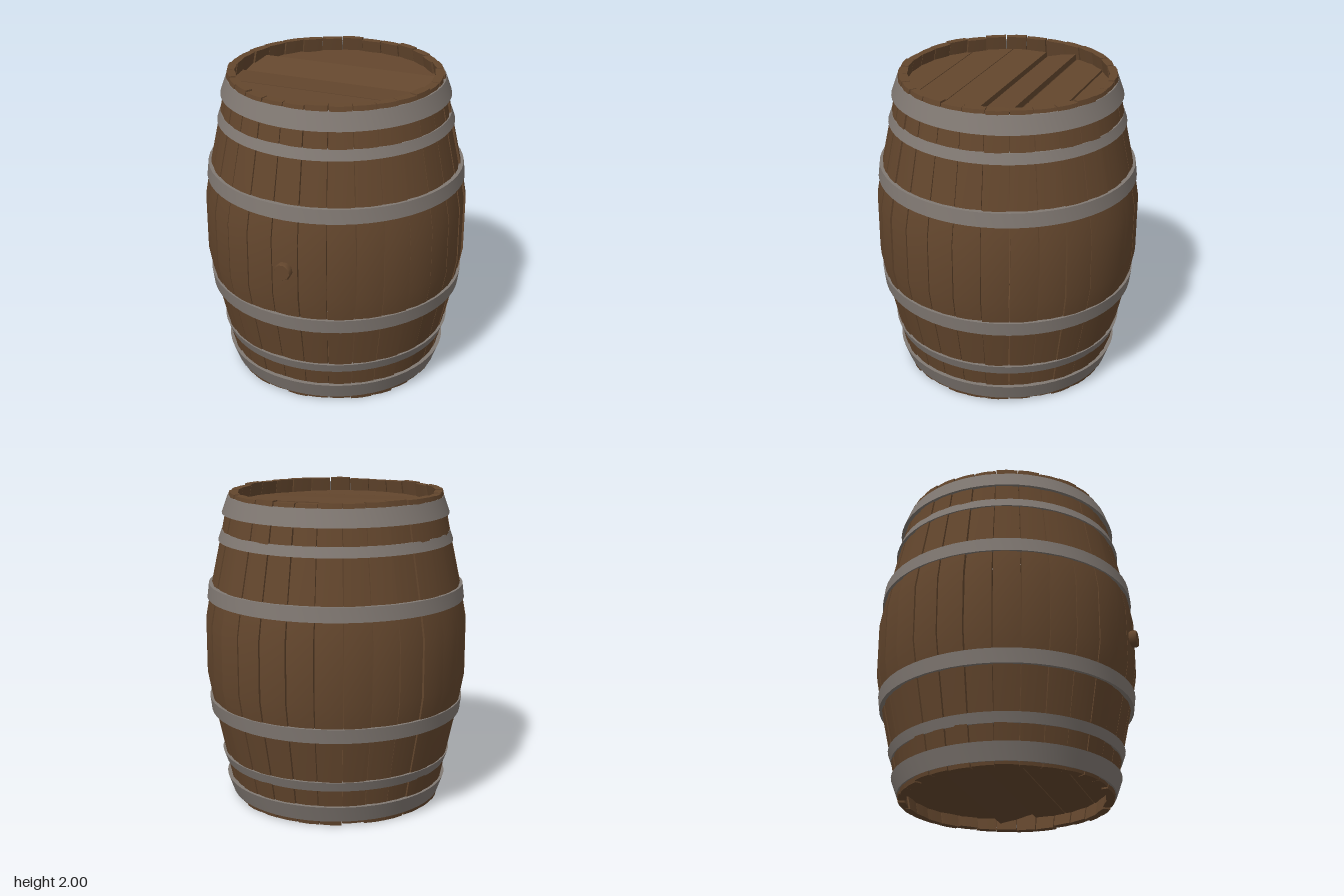
import * as THREE from 'three';
import { toCreasedNormals } from 'three/addons/utils/BufferGeometryUtils.js';

const wood = new THREE.MeshStandardMaterial({ color: 0x63462d });
wood.name = 'brown wood';
const iron = new THREE.MeshStandardMaterial({ color: 0x807872 });
iron.name = 'grey iron';

const STAVES = 30;
// Barrel outline: [height, radius]
const PROFILE = [[0, 0.672], [0.27, 0.725], [0.62, 0.8], [0.82, 0.836],
  [1.18, 0.836], [1.38, 0.8], [1.73, 0.725], [2, 0.672]];

let seed = 7;
function rand(a, b) {
  seed = (seed * 16807) % 2147483647;
  return a + (b - a) * seed / 2147483647;
}

// One curved stave: a six-cornered section swept up the outline
function staveGeometry() {
  const half = Math.PI / STAVES, pos = [], idx = [];
  const bump = rand(-0.005, 0.005), skew = rand(-0.004, 0.004), inner = rand(0.044, 0.056);
  const y0 = rand(0.004, 0.016), y1 = 2 - rand(0, 0.012);
  PROFILE.forEach(([y, r], i) => {
    const yy = i === 0 ? y0 : i === PROFILE.length - 1 ? y1 : y;
    const gap = half - rand(0.002, 0.006);
    const R = r + bump;
    const section = [[-gap, R - 0.003 - skew], [0, R], [gap, R - 0.003 + skew],
      [gap, R - inner], [0, R - inner - 0.006], [-gap, R - inner]];
    for (const [a, q] of section) pos.push(Math.sin(a) * q, yy, Math.cos(a) * q);
  });
  const n = 6, top = (PROFILE.length - 1) * n;
  for (let i = 0; i < PROFILE.length - 1; i++) {
    for (let j = 0; j < n; j++) {
      const a = i * n + j, b = i * n + (j + 1) % n;
      idx.push(a, b, b + n, a, b + n, a + n);
    }
  }
  for (const [a, b, c] of [[0, 1, 4], [0, 4, 5], [1, 2, 3], [1, 3, 4]]) {
    idx.push(a, c, b, top + a, top + b, top + c);
  }
  const g = new THREE.BufferGeometry();
  g.setAttribute('position', new THREE.Float32BufferAttribute(pos, 3));
  g.setIndex(idx);
  return toCreasedNormals(g, 0.5);
}

// Closed iron hoop between two heights, each with its own radius
function hoopGeometry(y0, r0, y1, r1) {
  const t = 0.03;
  const pts = [[r0 - t, y0], [r0, y0], [r1, y1], [r1 - t, y1], [r0 - t, y0]];
  const g = new THREE.LatheGeometry(pts.map(p => new THREE.Vector2(...p)), STAVES * 2);
  return toCreasedNormals(g, 0.5);
}

// Board of a round head, cut to the circle and tilted slightly
function boardGeometry(z0, z1, R, tilt) {
  const shape = new THREE.Shape(), steps = 8, edge = [];
  for (let i = 0; i <= steps; i++) {
    const z = z0 + (z1 - z0) * i / steps;
    edge.push([Math.sqrt(Math.max(0, R * R - z * z)), z]);
  }
  const outline = [...edge, ...edge.slice().reverse().map(([x, z]) => [-x, z])];
  shape.setFromPoints(outline.map(([x, z]) => new THREE.Vector2(x, -z)));
  const g = new THREE.ExtrudeGeometry(shape, { depth: 0.04, bevelEnabled: false });
  g.rotateX(-Math.PI / 2).translate(0, -0.02, 0);
  const p = g.attributes.position, mid = (z0 + z1) / 2;
  for (let i = 0; i < p.count; i++) p.setY(i, p.getY(i) + tilt * (p.getZ(i) - mid));
  g.computeVertexNormals();
  return g;
}

export function createModel() {
  const model = new THREE.Group();
  model.name = 'barrel';
  const body = new THREE.Group();
  body.name = 'barrelBody';
  body.position.z = -0.015;
  model.add(body);

  function add(name, geometry, material, parent = body) {
    const mesh = new THREE.Mesh(geometry, material);
    mesh.name = name;
    parent.add(mesh);
    return mesh;
  }

  // Staves
  const staves = new THREE.Group();
  staves.name = 'staves';
  body.add(staves);
  for (let i = 0; i < STAVES; i++) {
    add('stave', staveGeometry(), wood, staves).rotation.y = i * 2 * Math.PI / STAVES;
  }

  // Hoops, mirrored about the middle
  const hoops = [[1.325, 0.823, 1.415, 0.812], [1.69, 0.746, 1.752, 0.724], [1.86, 0.72, 1.967, 0.682]];
  for (const [y0, r0, y1, r1] of hoops) {
    add('upperHoop', hoopGeometry(y0, r0, y1, r1), iron);
    add('lowerHoop', hoopGeometry(2 - y1, r1, 2 - y0, r0), iron);
  }

  // Heads, set in from both ends
  const seams = [-0.648, -0.465, -0.235, -0.005, 0.217, 0.447, 0.648];
  const tilts = [-0.04, -0.05, -0.3, 0.03, -0.02, 0.03];
  for (const [name, y, side] of [['topBoard', 1.89, 1], ['bottomBoard', 0.11, -1]]) {
    tilts.forEach((tilt, i) => {
      const g = boardGeometry(seams[i] + 0.003, seams[i + 1] - 0.003, 0.65, tilt * side);
      add(name, g, wood).position.y = y;
    });
  }

  // Bung on the front
  const bung = [[0, -0.04], [0.05, -0.04], [0.057, 0.02], [0.05, 0.035], [0, 0.035]];
  const bungGeometry = new THREE.LatheGeometry(bung.map(p => new THREE.Vector2(...p)), 9);
  const plug = add('bung', toCreasedNormals(bungGeometry, 0.9), wood, model);
  plug.rotation.x = Math.PI / 2;
  plug.position.set(0, 1, 0.82);

  return model;
}
